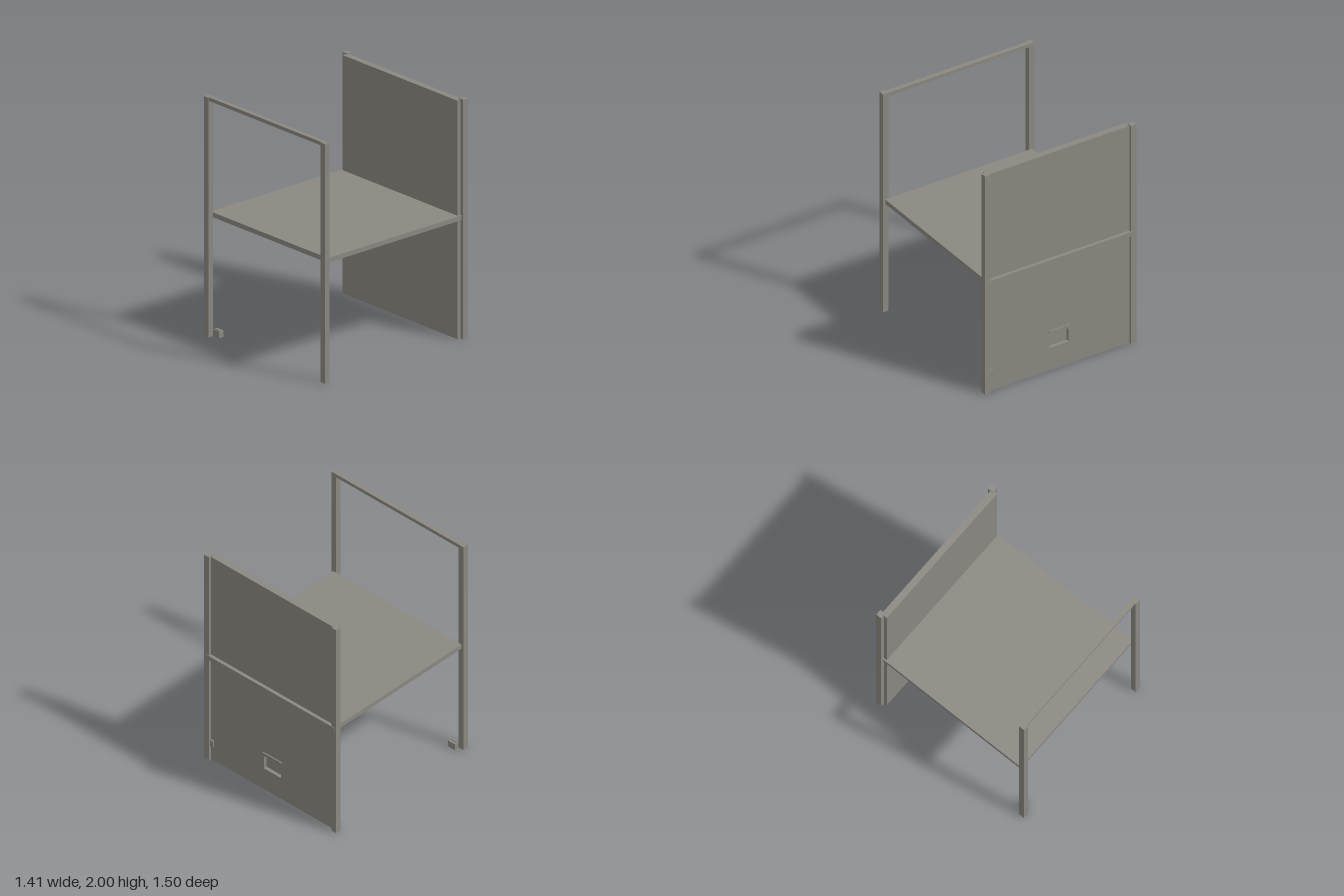
import * as THREE from 'three';

export function createModel() {
  const model = new THREE.Group();
  const grey = new THREE.MeshStandardMaterial({ color: 0x8a8880 });
  grey.name = 'warm grey';

  // Box given by its lower and upper limits on each axis
  function box(name, [x0, x1], [y0, y1], [z0, z1]) {
    const mesh = new THREE.Mesh(new THREE.BoxGeometry(x1 - x0, y1 - y0, z1 - z0), grey);
    mesh.position.set((x0 + x1) / 2, (y0 + y1) / 2, (z0 + z1) / 2);
    mesh.name = name;
    model.add(mesh);
  }

  // Four corner posts
  for (const side of [-1, 1]) {
    const x = side > 0 ? [0.655, 0.705] : [-0.705, -0.655];
    box('frontPost', x, [0, 2], [0.7, 0.75]);
    box('backPost', x, [0, 2], [-0.75, -0.7]);
  }

  // Rail joining the front posts, and the shelf running through the back panel
  box('frontTopRail', [-0.655, 0.655], [1.97, 2], [0.7, 0.74]);
  box('shelf', [-0.685, 0.685], [0.99, 1.03], [-0.754, 0.7]);

  // Back panel: solid front layer, rear layer pierced by a shallow pocket
  box('backPanelFront', [-0.672, 0.672], [0, 1.99], [-0.695, -0.67]);
  const outline = new THREE.Shape([
    new THREE.Vector2(-0.672, 0), new THREE.Vector2(0.672, 0),
    new THREE.Vector2(0.672, 1.99), new THREE.Vector2(-0.672, 1.99),
  ]);
  outline.holes.push(new THREE.Path([
    new THREE.Vector2(-0.09, 0.205), new THREE.Vector2(-0.09, 0.325),
    new THREE.Vector2(0.09, 0.325), new THREE.Vector2(0.09, 0.205),
  ]));
  const rear = new THREE.Mesh(
    new THREE.ExtrudeGeometry(outline, { depth: 0.03, bevelEnabled: false }), grey);
  rear.position.z = -0.725;
  rear.name = 'backPanelRear';
  model.add(rear);

  // Small fittings on the rear: drip strip above the pocket and a side latch
  box('pocketStrip', [-0.1, 0.1], [0.352, 0.365], [-0.735, -0.725]);
  box('sideLatch', [0.622, 0.655], [0.135, 0.195], [-0.74, -0.725]);

  // Foot block behind the right front post, with a low ridge on top
  box('footBlock', [-0.655, -0.585], [0, 0.056], [0.655, 0.7]);
  box('footBlockRidge', [-0.645, -0.595], [0.056, 0.063], [0.678, 0.692]);

  return model;
}
